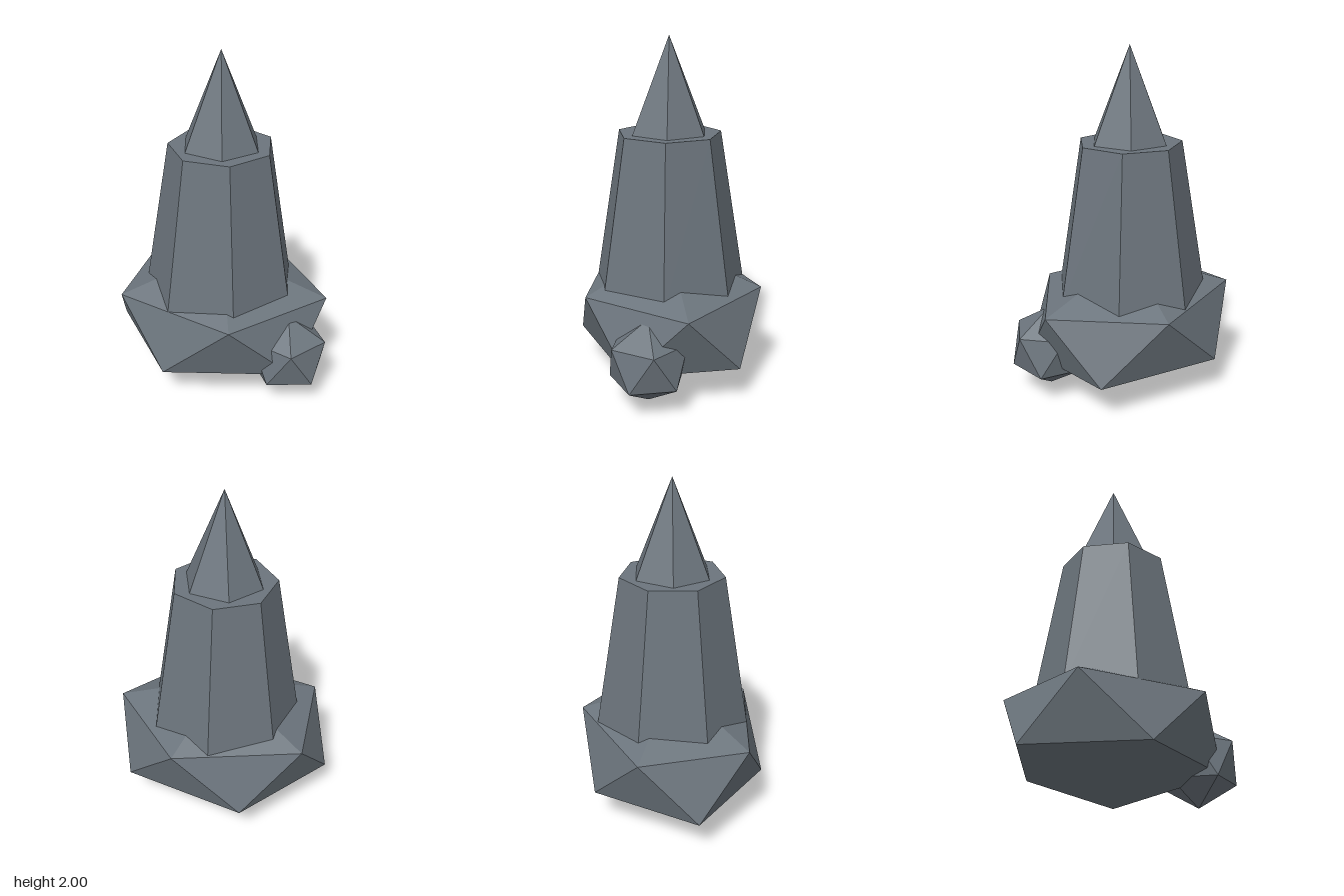
import * as THREE from 'three';

export function createModel() {
  const model = new THREE.Group();
  model.name = 'rockSpire';
  const stone = new THREE.MeshStandardMaterial({ color: 0x6c757d, flatShading: true });
  stone.name = 'slate stone';

  const add = (name, geometry, x, y, z, turn = 0) => {
    const mesh = new THREE.Mesh(geometry, stone);
    mesh.name = name;
    mesh.position.set(x, y, z);
    mesh.rotation.y = turn;
    model.add(mesh);
  };

  // Icosahedron boulder standing on one corner, upper ring corner towards +x
  const boulder = (sx, sy, sz) => {
    const tilt = Math.atan(2 / (1 + Math.sqrt(5)));
    return new THREE.IcosahedronGeometry(1, 0).rotateZ(-tilt).scale(sx, sy, sz);
  };

  // Wide base boulder and the small one leaning on it
  add('baseBoulder', boulder(0.716, 0.392, 0.6), -0.02, 0.393, 0);
  add('smallBoulder', boulder(0.245, 0.243, 0.245), 0.44, 0.286, 0.19);

  // Seven-sided tapering shaft
  add('shaft', new THREE.CylinderGeometry(0.3, 0.45, 0.9, 7), -0.02, 1.01, 0, Math.PI);

  // Six-sided pointed tip
  add('tip', new THREE.ConeGeometry(0.23, 0.54, 6), -0.02, 1.73, 0, THREE.MathUtils.degToRad(18));

  return model;
}
